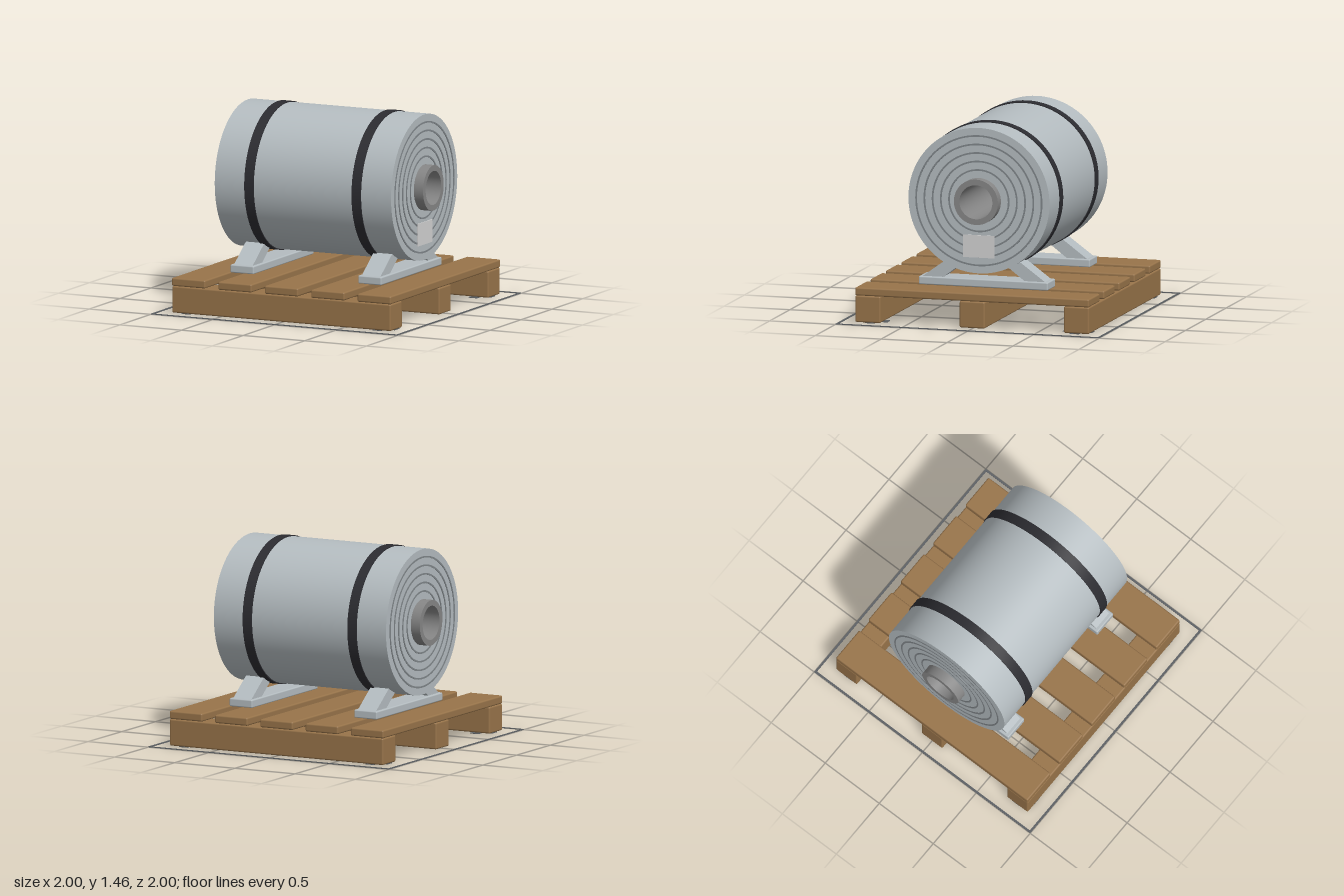
import * as THREE from 'three';
import { toCreasedNormals } from 'three/addons/utils/BufferGeometryUtils.js';
import { RoundedBoxGeometry } from 'three/addons/geometries/RoundedBoxGeometry.js';

const material = (name, color) => {
  const m = new THREE.MeshStandardMaterial({ color });
  m.name = name;
  return m;
};

export function createModel() {
  const model = new THREE.Group();
  model.name = 'steelCoilOnPallet';

  const steel = material('galvanised steel', 0xb4bcc0);
  const seam = material('layer seam grey', 0x80868a);
  const coreGrey = material('core grey', 0x868686);
  const strapBlack = material('strap black', 0x2c2c31);
  const wood = material('pallet wood', 0x98744a);
  const labelGrey = material('label grey', 0xd2d2d2);
  const floorGrey = material('floor marking grey', 0x5c6064);

  const add = (parent, name, geometry, mat, x = 0, y = 0, z = 0) => {
    const mesh = new THREE.Mesh(geometry, mat);
    mesh.name = name;
    mesh.position.set(x, y, z);
    parent.add(mesh);
    return mesh;
  };
  const group = (name, y = 0) => {
    const g = new THREE.Group();
    g.name = name;
    g.position.y = y;
    model.add(g);
    return g;
  };

  // Hollow cylinder lying along x
  const sleeve = (inner, outer, length, segments = 96) => {
    const h = length / 2;
    const profile = [[inner, -h], [outer, -h], [outer, h], [inner, h], [inner, -h]]
      .map(([r, y]) => new THREE.Vector2(r, y));
    const lathe = new THREE.LatheGeometry(profile, segments).rotateZ(-Math.PI / 2);
    return toCreasedNormals(lathe, 0.6);
  };

  // Coil with core tube, seams between layers, straps and label
  const coil = group('coil', 0.914);
  add(coil, 'coilBody', sleeve(0.15, 0.535, 1.43), steel);
  add(coil, 'coreTube', sleeve(0.125, 0.167, 1.58, 64), coreGrey);
  for (const side of [-1, 1]) {
    for (let i = 0; i < 5; i++) {
      const r = 0.226 + i * 0.0625;
      add(coil, 'layerSeam', sleeve(r - 0.006, r + 0.006, 0.008), seam, side * 0.715);
    }
    add(coil, 'strap', sleeve(0.525, 0.542, 0.075), strapBlack, side * 0.435);
  }
  add(coil, 'label', new THREE.BoxGeometry(0.008, 0.165, 0.235), labelGrey, 0.719, -0.336, 0);

  // Cradles: a base bar with two slanted blocks leaning on the coil
  const wedgeShape = new THREE.Shape([
    new THREE.Vector2(0.467, 0.315), new THREE.Vector2(0.255, 0.469),
    new THREE.Vector2(0.168, 0.424), new THREE.Vector2(0.312, 0.315),
  ]);
  const cradles = group('cradles');
  for (const side of [-1, 1]) {
    const x = side * 0.518;
    add(cradles, 'cradleBase', new RoundedBoxGeometry(0.19, 0.06, 0.98, 2, 0.01), steel, x, 0.288, 0);
    for (const end of [-1, 1]) {
      const wedge = new THREE.ExtrudeGeometry(wedgeShape, { depth: 0.15, bevelEnabled: false });
      wedge.translate(0, 0, -0.075).rotateY(end * Math.PI / 2);
      add(cradles, 'cradleWedge', wedge, steel, x, 0, 0);
    }
  }

  // Pallet: five deck boards on three runners
  const pallet = group('pallet');
  for (let i = -2; i <= 2; i++) {
    add(pallet, 'deckBoard', new RoundedBoxGeometry(0.272, 0.06, 1.774, 2, 0.012), wood, i * 0.3765, 0.23, 0);
  }
  for (let i = -1; i <= 1; i++) {
    add(pallet, 'runner', new RoundedBoxGeometry(1.774, 0.196, 0.192, 2, 0.012), wood, 0, 0.102, i * 0.791);
  }

  // Floor markings: a border line and a cross under each pallet corner
  const markings = group('floorMarkings', 0.0025);
  const line = (name, w, d, x, z) =>
    add(markings, name, new THREE.BoxGeometry(w, 0.005, d), floorGrey, x, 0, z);
  for (const s of [-1, 1]) {
    line('borderLine', 2, 0.015, 0, s * 0.9925);
    line('borderLine', 0.015, 1.97, s * 0.9925, 0);
    for (const t of [-1, 1]) {
      line('crossBar', 0.22, 0.07, s * 0.775, t * 0.775);
      for (const e of [-1, 1]) line('crossArm', 0.07, 0.075, s * 0.775, t * 0.775 + e * 0.0725);
    }
  }
  return model;
}
